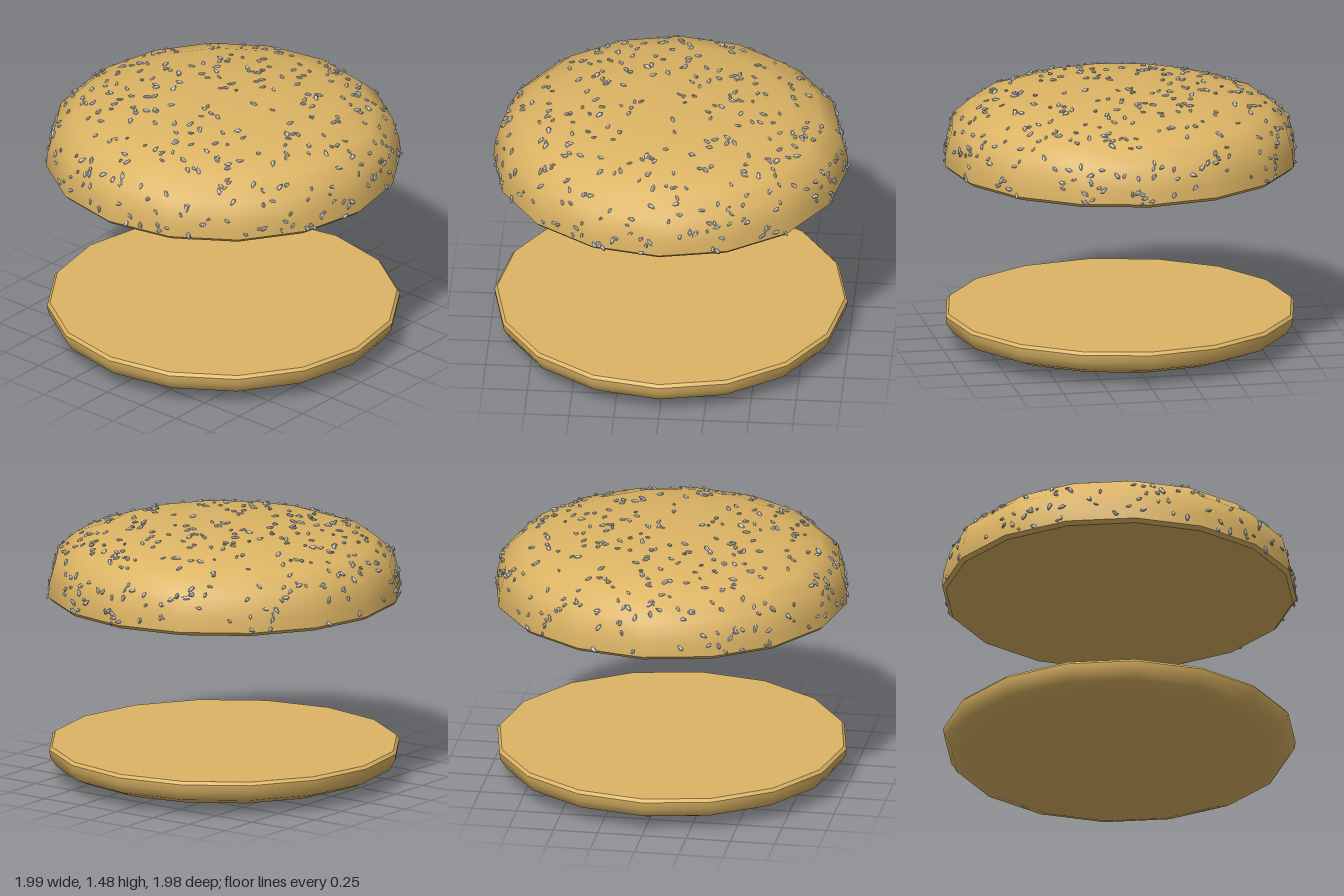
import * as THREE from 'three';
import { mergeGeometries, toCreasedNormals } from 'three/addons/utils/BufferGeometryUtils.js';

const SIDES = 16;
const bunMaterial = new THREE.MeshStandardMaterial({ color: 0xdcb464 });
const seedMaterial = new THREE.MeshStandardMaterial({ color: 0xcccccc, flatShading: true });

// Profiles as [radius, height], from the bottom axis to the top axis
const TOP = [[0, 1.025], [0.86, 1.035], [0.97, 1.045], [0.99, 1.065], [0.985, 1.14],
  [0.95, 1.27], [0.845, 1.36], [0.655, 1.425], [0.335, 1.46], [0, 1.473]];
const BOTTOM = [[0, 0], [0.3, 0.01], [0.64, 0.028], [0.845, 0.055], [0.945, 0.095],
  [0.98, 0.15], [0.985, 0.19], [0.97, 0.207], [0, 0.212]];

// Small repeatable random numbers
function seeded(s) {
  return () => {
    s = (s * 1664525 + 1013904223) % 4294967296;
    return s / 4294967296;
  };
}

function bun(profile, name) {
  const points = profile.map(([r, y]) => new THREE.Vector2(r, y));
  const geometry = toCreasedNormals(new THREE.LatheGeometry(points, SIDES), 0.7);
  const mesh = new THREE.Mesh(geometry, bunMaterial);
  mesh.name = name;
  return mesh;
}

// Seeds spread evenly by area over the faceted dome
function sesameSeeds(count) {
  const random = seeded(7);
  const dome = TOP.slice(3);
  const areas = dome.slice(1).map(([r, y], i) =>
    (r + dome[i][0]) * Math.hypot(r - dome[i][0], y - dome[i][1]));
  const total = areas.reduce((a, b) => a + b, 0);
  const step = (2 * Math.PI) / SIDES;
  const up = new THREE.Vector3(0, 1, 0);
  const parts = [];
  for (let n = 0; n < count; n++) {
    // Choose a band of the dome, then a spot within it
    let pick = random() * total, band = 0;
    while (band < areas.length - 1 && pick > areas[band]) pick -= areas[band++];
    const [r0, y0] = dome[band], [r1, y1] = dome[band + 1];
    let t = random();
    if (r1 === 0) t = 1 - Math.sqrt(1 - t);
    const angle = random() * 2 * Math.PI;
    const middle = (Math.floor(angle / step) + 0.5) * step;
    const r = (r0 + (r1 - r0) * t) * Math.cos(step / 2) / Math.cos(angle - middle);
    const normal = new THREE.Vector3((y1 - y0) * Math.sin(middle), r0 - r1,
      (y1 - y0) * Math.cos(middle)).normalize();

    // Lay the seed on the surface with a random heading and a slight tilt
    const turn = new THREE.Quaternion().setFromUnitVectors(up, normal);
    turn.multiply(new THREE.Quaternion().setFromEuler(new THREE.Euler(
      (random() - 0.5) * 1.2, random() * 2 * Math.PI, (random() - 0.5) * 1.2, 'YXZ')));
    const size = 0.8 + random() * 0.5;
    const position = new THREE.Vector3(r * Math.sin(angle), y0 + (y1 - y0) * t, r * Math.cos(angle))
      .addScaledVector(normal, 0.003);
    const seed = new THREE.SphereGeometry(1, 6, 4);
    // Narrow one end into a teardrop
    const p = seed.attributes.position;
    for (let i = 0; i < p.count; i++) p.setZ(i, p.getZ(i) * (1 + 0.4 * p.getX(i)));
    seed.applyMatrix4(new THREE.Matrix4().compose(position, turn,
      new THREE.Vector3(0.02, 0.008, 0.01).multiplyScalar(size)));
    parts.push(seed);
  }
  const mesh = new THREE.Mesh(mergeGeometries(parts), seedMaterial);
  mesh.name = 'sesameSeeds';
  return mesh;
}

export function createModel() {
  const model = new THREE.Group();
  model.name = 'burgerBun';
  const top = new THREE.Group();
  top.name = 'topHalf';
  top.add(bun(TOP, 'topBun'), sesameSeeds(420));
  model.add(top, bun(BOTTOM, 'bottomBun'));
  return model;
}
